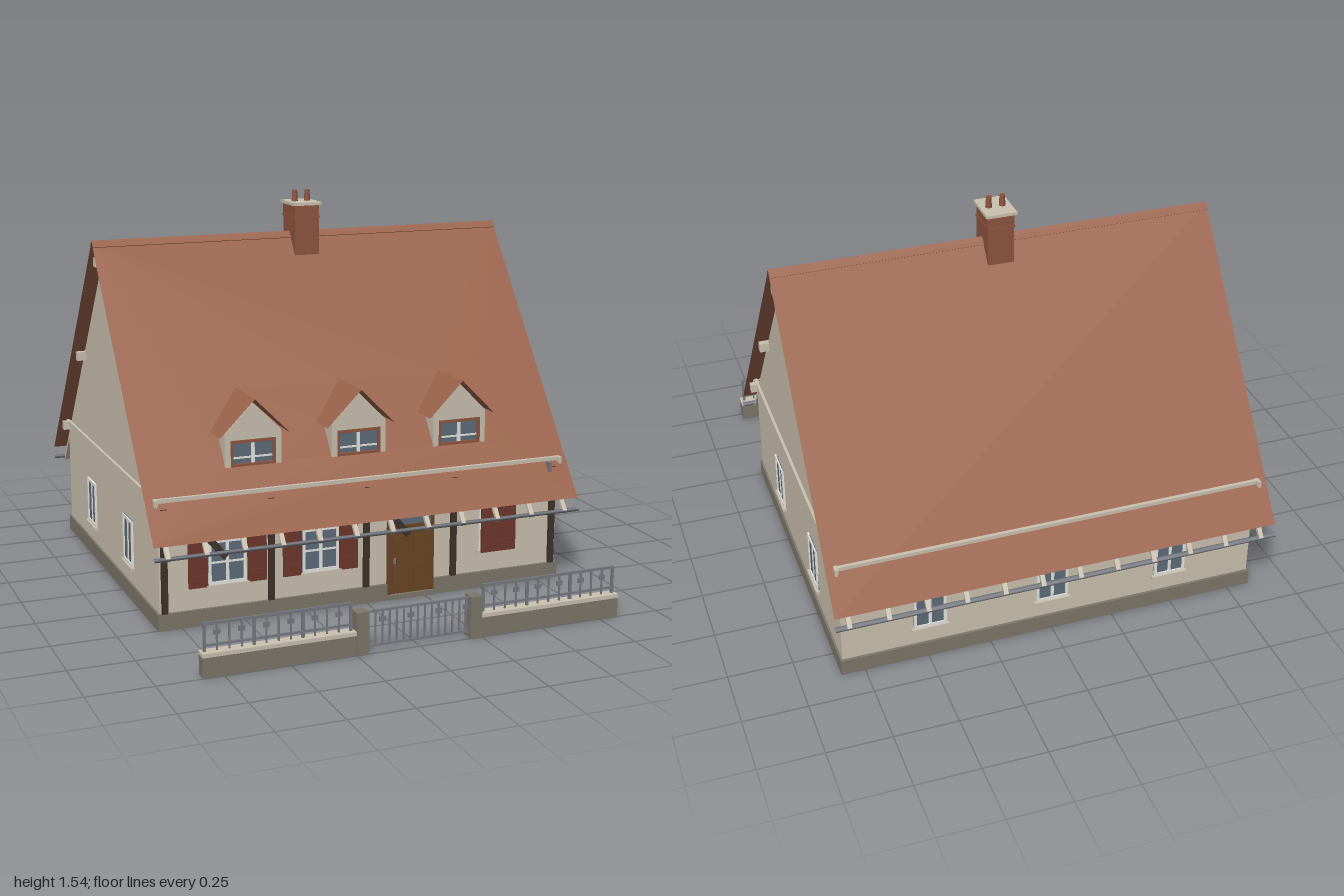
import * as THREE from 'three';

const mat = (name, color, side = THREE.FrontSide) => {
  const m = new THREE.MeshStandardMaterial({ color, side });
  m.name = name;
  return m;
};
const RIDGE_Y = 1.375, RIDGE_Z = -0.19, SLOPE = 1.298, RUN = 0.785;
const roofY = d => RIDGE_Y - SLOPE * d;

export function createModel() {
  const M = {
    wall: mat('cream plaster', 0xcbc2b0, THREE.DoubleSide),
    roof: mat('roof tile', 0x9b634b, THREE.DoubleSide),
    brick: mat('brick', 0x8f5540),
    stone: mat('plinth stone', 0x7d776b),
    shutter: mat('shutter red', 0x70382c),
    door: mat('door wood', 0x6b4526),
    glass: mat('window glass', 0x5d6c7a),
    white: mat('white frame', 0xe9e7e1),
    metal: mat('grey metal', 0x777a82, THREE.DoubleSide),
    timber: mat('dark timber', 0x40322a),
  };
  const model = new THREE.Group();
  model.name = 'house';
  const add = (parent, name, geo, material, x = 0, y = 0, z = 0) => {
    const m = new THREE.Mesh(geo, material);
    m.name = name;
    m.position.set(x, y, z);
    parent.add(m);
    return m;
  };
  // box given by its extents
  const box = (parent, name, material, x0, x1, y0, y1, z0, z1) =>
    add(parent, name, new THREE.BoxGeometry(x1 - x0, y1 - y0, z1 - z0), material,
      (x0 + x1) / 2, (y0 + y1) / 2, (z0 + z1) / 2);
  const group = (name, parent = model) => {
    const g = new THREE.Group();
    g.name = name;
    parent.add(g);
    return g;
  };
  const shape = pts => new THREE.Shape(pts.map(p => new THREE.Vector2(...p)));

  // walls and plinth, open underneath
  box(model, 'frontWall', M.wall, -0.835, 0.835, 0, 0.48, 0.486, 0.496);
  box(model, 'backWall', M.wall, -0.835, 0.835, 0, 0.48, -0.866, -0.856);
  const gable = new THREE.ExtrudeGeometry(shape([[0.495, 0], [0.495, 0.485], [0.45, 0.49], [RIDGE_Z, 1.315],
    [-0.83, 0.49], [-0.865, 0.485], [-0.865, 0]]), { depth: 0.01, bevelEnabled: false });
  gable.rotateY(-Math.PI / 2);
  box(model, 'plinthFrontA', M.stone, -0.843, 0.09, 0, 0.065, 0.496, 0.507);
  box(model, 'plinthFrontB', M.stone, 0.29, 0.843, 0, 0.065, 0.496, 0.507);
  box(model, 'plinthBack', M.stone, -0.843, 0.843, 0, 0.065, -0.877, -0.866);
  for (const s of [-1, 1]) {
    add(model, 'gableWall', gable, M.wall, s > 0 ? 0.835 : -0.825);
    const side = (name, m, a, b, y0, y1, z0, z1) =>
      box(model, name, m, Math.min(s * a, s * b), Math.max(s * a, s * b), y0, y1, z0, z1);
    side('plinthSide', M.stone, 0.835, 0.843, 0, 0.065, -0.877, 0.507);
    side('gableBeam', M.wall, 0.835, 0.846, 0.486, 0.506, -0.887, 0.512);
    for (const [z, y] of [[0.44, 0.49], [0.155, 0.853], [RIDGE_Z, 1.293], [-0.53, 0.853], [-0.82, 0.49]])
      side('purlinEnd', M.wall, 0.82, 0.872, y - 0.018, y + 0.018, z - 0.013, z + 0.013);
  }

  // framed window facing +z, centred on the wall plane
  const windowUnit = (x, z, y0, y1, w, turn, bars) => {
    const g = group('window');
    g.position.set(x, 0, z);
    g.rotation.y = turn;
    const h = w / 2, t = 0.011;
    box(g, 'glass', M.glass, -h, h, y0, y1, -0.008, 0.008);
    for (const s of [-1, 1])
      box(g, 'frameSide', M.white, s * (h - t / 2) - t / 2, s * (h - t / 2) + t / 2, y0, y1, -0.013, 0.013);
    box(g, 'frameTop', M.white, -h, h, y1 - t, y1, -0.013, 0.013);
    box(g, 'frameBottom', M.white, -h, h, y0, y0 + t, -0.013, 0.013);
    box(g, 'mullion', M.white, -0.006, 0.006, y0, y1, -0.011, 0.011);
    for (const y of bars) box(g, 'transom', M.white, -h, h, y - 0.004, y + 0.004, -0.01, 0.01);
    box(g, 'sill', M.wall, -h - 0.01, h + 0.01, y0 - 0.012, y0, -0.012, 0.02);
  };
  for (const x of [-0.567, -0.19, 0.565]) windowUnit(x, 0.491, 0.155, 0.405, 0.15, 0, [0.24, 0.32]);
  for (const x of [-0.49, 0, 0.49]) windowUnit(x, -0.861, 0.14, 0.328, 0.128, Math.PI, []);
  for (const s of [-1, 1])
    for (const z of [0.093, -0.469]) windowUnit(s * 0.83, z, 0.14, 0.328, 0.128, s * Math.PI / 2, []);

  // shutters: two pairs open, one pair closed
  for (const x of [-0.684, -0.45, -0.307, -0.075, 0.527, 0.603]) {
    const g = group('shutter');
    const z = x > 0.5 ? 0.516 : 0.498;
    box(g, 'leaf', M.shutter, x - 0.0375, x + 0.0375, 0.15, 0.405, z, z + 0.01);
    for (const y of [0.19, 0.36]) box(g, 'batten', M.shutter, x - 0.032, x + 0.032, y - 0.008, y + 0.008, z + 0.01, z + 0.014);
  }

  // door with glazed fanlight
  const door = group('frontDoor');
  box(door, 'doorLeaf', M.door, 0.1, 0.278, 0.02, 0.29, 0.482, 0.503);
  box(door, 'fanlight', M.glass, 0.1, 0.278, 0.298, 0.39, 0.482, 0.501);
  box(door, 'lintel', M.door, 0.09, 0.288, 0.39, 0.402, 0.482, 0.506);
  box(door, 'doorRail', M.door, 0.09, 0.288, 0.287, 0.299, 0.482, 0.506);
  box(door, 'doorStep', M.stone, 0.09, 0.29, 0, 0.02, 0.496, 0.515);
  for (const x of [0.095, 0.283]) box(door, 'doorJamb', M.door, x - 0.006, x + 0.006, 0, 0.4, 0.482, 0.506);
  for (const x of [0.145, 0.233])
    for (const y of [0.09, 0.21]) box(door, 'doorPanel', M.door, x - 0.032, x + 0.032, y - 0.045, y + 0.045, 0.503, 0.508);
  box(door, 'doorHandle', M.metal, 0.115, 0.122, 0.145, 0.17, 0.503, 0.514);

  // dark timber posts and braces on the front
  for (const x of [-0.815, -0.392, 0, 0.375, 0.815])
    box(model, 'post', M.timber, x - 0.012, x + 0.012, 0.065, 0.47, 0.496, 0.509);
  for (const x of [-0.635, 0.115]) {
    const b = add(model, 'brace', new THREE.BoxGeometry(0.026, 0.17, 0.014), M.timber, x, 0.33, 0.522);
    b.rotation.z = 0.7;
  }

  // main roof: flat outline laid onto each slope, with dormer openings in front
  const dormerX = [-0.433, 0, 0.433];
  for (const s of [1, -1]) {
    const outline = shape([[-0.88, 0], [0.88, 0], [0.88, RUN], [-0.88, RUN]]);
    if (s > 0) for (const x of dormerX)
      outline.holes.push(new THREE.Path([[x - 0.11, 0.608], [x - 0.11, 0.515], [x, 0.42], [x + 0.11, 0.515], [x + 0.11, 0.608]]
        .map(p => new THREE.Vector2(...p))));
    const geo = new THREE.ShapeGeometry(outline);
    const p = geo.attributes.position;
    for (let i = 0; i < p.count; i++) {
      const d = p.getY(i);
      p.setXYZ(i, -s * p.getX(i), roofY(d), RIDGE_Z + s * d);
    }
    geo.computeVertexNormals();
    add(model, s > 0 ? 'frontRoof' : 'backRoof', geo, M.roof);

    const cap = add(model, 'ridgeCap', new THREE.BoxGeometry(1.76, 0.004, 0.03), M.roof, 0, 1.366, RIDGE_Z + s * 0.011);
    cap.rotation.x = s * Math.atan(SLOPE);

    // half-round gutter
    const gutter = add(model, 'gutter', new THREE.CylinderGeometry(0.012, 0.012, 1.76, 10, 1, true, 0, Math.PI),
      M.metal, 0, 0.314, RIDGE_Z + s * 0.79);
    gutter.rotation.z = -Math.PI / 2;
    // rafter tails
    const len = 0.25;
    for (let i = 0; i < 12; i++) {
      const r = add(model, 'rafterTail', new THREE.BoxGeometry(0.018, 0.014, len), M.wall,
        -0.825 + i * 0.15, 0.398, RIDGE_Z + s * 0.707);
      r.rotation.x = s * Math.atan(SLOPE);
    }
    // snow guard rail
    const z = RIDGE_Z + s * 0.682;
    box(model, 'snowGuard', M.wall, -0.85, 0.85, 0.492, 0.507, z - 0.007, z + 0.007);
    for (const x of [-0.845, 0.845])
      box(model, 'snowGuardEnd', M.wall, x - 0.005, x + 0.005, 0.48, 0.507, Math.min(z, z + s * 0.02), Math.max(z, z + s * 0.02));
  }
  box(model, 'guardPin', M.metal, 0.786, 0.796, 0.455, 0.492, 0.5, 0.53);

  // dormers
  for (const x of dormerX) {
    const g = group('dormer');
    g.position.x = x;
    const face = shape([[-0.113, 0.578], [0.113, 0.578], [0.113, 0.71], [0, 0.823], [-0.113, 0.71]]);
    face.holes.push(shape([[-0.09, 0.585], [-0.09, 0.682], [0.09, 0.682], [0.09, 0.585]]));
    add(g, 'dormerFront', new THREE.ExtrudeGeometry(face, { depth: 0.012, bevelEnabled: false }), M.wall, 0, 0, 0.411);
    box(g, 'dormerGlass', M.glass, -0.08, 0.08, 0.588, 0.675, 0.41, 0.415);
    box(g, 'frameTop', M.brick, -0.09, 0.09, 0.67, 0.682, 0.405, 0.426);
    box(g, 'frameBottom', M.brick, -0.09, 0.09, 0.58, 0.59, 0.405, 0.426);
    box(g, 'mullion', M.white, -0.007, 0.007, 0.59, 0.67, 0.406, 0.42);
    box(g, 'transom', M.white, -0.078, 0.078, 0.609, 0.616, 0.406, 0.419);
    const cheek = new THREE.ShapeGeometry(shape([[0.42, 0.58], [0.42, 0.712], [0.315, 0.712]]));
    cheek.rotateY(-Math.PI / 2);
    for (const s of [-1, 1]) {
      box(g, 'frameSide', M.brick, s * 0.085 - 0.005, s * 0.085 + 0.005, 0.58, 0.682, 0.405, 0.426);
      add(g, 'dormerCheek', cheek, M.wall, s * 0.112);
      const geo = new THREE.BufferGeometry();
      geo.setAttribute('position', new THREE.Float32BufferAttribute(
        [0, 0.84, 0.447, s * 0.14, 0.7, 0.447, s * 0.14, 0.7, 0.33, 0, 0.84, 0.222], 3));
      geo.setIndex(s > 0 ? [0, 1, 2, 0, 2, 3] : [0, 2, 1, 0, 3, 2]);
      geo.computeVertexNormals();
      add(g, 'dormerRoof', geo, M.roof);
    }
  }

  // chimney
  const chimney = group('chimney');
  box(chimney, 'stack', M.brick, -0.052, 0.052, 1.24, 1.488, -0.257, -0.122);
  box(chimney, 'cap', M.wall, -0.061, 0.061, 1.488, 1.5, -0.266, -0.113);
  box(chimney, 'collar', M.brick, -0.055, 0.055, 1.436, 1.444, -0.26, -0.119);
  for (const x of [-0.027, 0.027])
    add(chimney, 'chimneyPot', new THREE.CylinderGeometry(0.01, 0.013, 0.046, 12), M.brick, x, 1.522, RIDGE_Z);

  // garden fence and gate
  const fence = group('fence');
  const Z = 0.976;
  const bar = (x, y0, y1, t = 0.003) => box(fence, 'fenceBar', M.metal, x - t, x + t, y0, y1, Z - t, Z + t);
  const rail = (x0, x1, y) => box(fence, 'fenceRail', M.metal, x0, x1, y - 0.004, y + 0.004, Z - 0.004, Z + 0.004);
  const plate = (x, y) => box(fence, 'fencePlate', M.metal, x - 0.012, x + 0.012, y - 0.009, y + 0.009, Z - 0.004, Z + 0.004);
  for (const s of [-1, 1]) {
    const a = s > 0 ? 0.25 : -0.83, b = a + 0.58;
    box(fence, 'fenceWall', M.stone, a, b, 0, 0.075, 0.957, 0.997);
    box(fence, 'fenceCoping', M.wall, a, b, 0.075, 0.09, 0.952, 1);
    box(fence, 'gatePillar', M.stone, s * 0.227 - 0.024, s * 0.227 + 0.024, 0, 0.16, 0.95, 1);
    rail(a + 0.01, b - 0.01, 0.193);
    rail(a + 0.01, b - 0.01, 0.112);
    for (let i = 0; i <= 12; i++) {
      const x = a + 0.015 + i * 0.0458;
      bar(x, 0.09, 0.193, i % 4 ? 0.003 : 0.005);
      if (i % 2) plate(x, 0.158);
    }
  }
  rail(-0.205, 0.205, 0.152);
  rail(-0.205, 0.205, 0.022);
  for (let i = 0; i <= 14; i++) {
    const x = -0.196 + i * 0.028;
    bar(x, 0.018, 0.152);
    if (i % 4 === 2) plate(x, 0.118);
  }
  return model;
}
